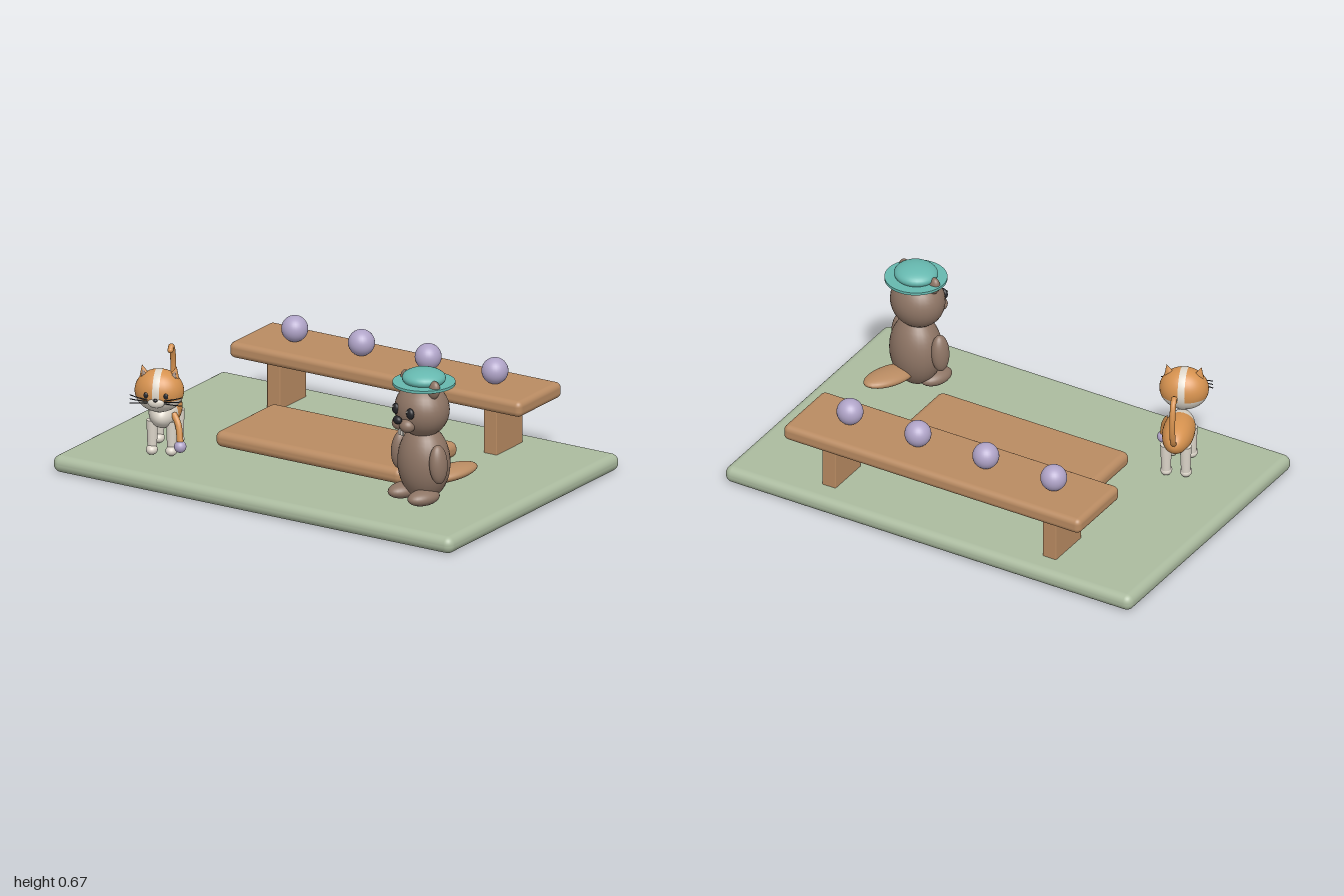
import * as THREE from 'three';
import { RoundedBoxGeometry } from 'three/addons/geometries/RoundedBoxGeometry.js';

const mat = (name, color) => Object.assign(new THREE.MeshStandardMaterial({ color }), { name });
const sage = mat('sage', 0xabbb9f);
const wood = mat('wood', 0xb98b62);
const lavender = mat('lavender', 0xb0a4c8);
const brown = mat('fur brown', 0x8e7565);
const teal = mat('teal', 0x66b8af);
const orange = mat('orange fur', 0xd6924f);
const cream = mat('cream', 0xddd6ca);
const black = mat('black', 0x26262a);
const white = mat('tooth white', 0xf2eee4);

function add(parent, name, geometry, material, pos = [0, 0, 0], rot = [0, 0, 0]) {
  const mesh = new THREE.Mesh(geometry, material);
  mesh.name = name;
  mesh.position.set(...pos);
  mesh.rotation.set(...rot);
  parent.add(mesh);
  return mesh;
}
const box = (parent, name, size, r, m, pos) =>
  add(parent, name, new RoundedBoxGeometry(...size, 4, r), m, pos);

const ball = (parent, name, r, m, pos, rot) =>
  add(parent, name, new THREE.SphereGeometry(1, 28, 20).scale(...r), m, pos, rot);

const tube = (parent, name, pts, r, m) =>
  add(parent, name, new THREE.TubeGeometry(
    new THREE.CatmullRomCurve3(pts.map(p => new THREE.Vector3(...p))), 28, r, 10), m);

// depth of an ellipsoid's front surface at an offset from its centre
const depth = ([rx, ry, rz], x, y) => rz * Math.sqrt(1 - (x / rx) ** 2 - (y / ry) ** 2);

function group(parent, name, pos, yaw) {
  const g = new THREE.Group();
  g.name = name;
  g.position.set(...pos);
  g.rotation.y = yaw;
  parent.add(g);
  return g;
}

function buildFurniture(root) {
  box(root, 'ground', [2, 0.075, 1.33], 0.035, sage, [0, 0.0375, 0]);
  box(root, 'lowPlatform', [0.935, 0.07, 0.455], 0.03, wood, [0, 0.12, -0.003]);
  box(root, 'benchTop', [1.46, 0.07, 0.335], 0.025, wood, [0, 0.317, -0.462]);
  for (const s of [-1, 1])
    box(root, 'benchLeg', [0.066, 0.23, 0.205], 0.004, wood, [s * 0.542, 0.185, -0.458]);
  for (let i = 0; i < 4; i++)
    ball(root, 'benchBall', [0.057, 0.057, 0.057], lavender, [-0.503 + i * 0.334, 0.407, -0.46]);
}

function buildCat(root) {
  const cat = group(root, 'cat', [-0.64, 0, 0.33], 0.38);

  // body: orange rear and cream chest share one ellipsoid, its axis along z
  const split = 1.22, bodyR = [0.068, 0.14, 0.07];
  const bodyPart = (start, len) =>
    new THREE.SphereGeometry(1, 28, 16, 0, Math.PI * 2, start, len).scale(...bodyR);
  add(cat, 'body', bodyPart(split, Math.PI - split), orange, [0, 0.252, 0], [Math.PI / 2, 0, 0]);
  add(cat, 'chest', bodyPart(0, split), cream, [0, 0.252, 0], [Math.PI / 2, 0, 0]);

  // legs and paws
  for (const s of [-1, 1]) for (const z of [-0.075, 0.08]) {
    add(cat, 'leg', new THREE.CylinderGeometry(0.025, 0.02, 0.13, 16), cream, [s * 0.042, 0.165, z]);
    ball(cat, 'paw', [0.025, 0.022, 0.03], cream, [s * 0.042, 0.1, z + 0.008]);
  }

  // head: orange above, cream below, cream blaze over the middle
  const R = [0.105, 0.093, 0.085];
  const head = group(cat, 'catHead', [0, 0.383, 0.138], 0);
  const cut = 1.86;
  add(head, 'headTop', new THREE.SphereGeometry(1, 32, 18, 0, Math.PI * 2, 0, cut).scale(...R), orange);
  add(head, 'jaw', new THREE.SphereGeometry(1, 32, 12, 0, Math.PI * 2, cut, Math.PI - cut).scale(...R), cream);
  const blaze = new THREE.SphereGeometry(1, 40, 4, 0, Math.PI * 2, Math.PI / 2 - 0.14, 0.28);
  add(head, 'blaze', blaze.rotateZ(Math.PI / 2).scale(R[0], R[1] * 1.015, R[2] * 1.015), cream);
  ball(head, 'muzzle', [0.036, 0.023, 0.018], cream, [0, -0.032, 0.074]);
  ball(head, 'nose', [0.009, 0.007, 0.007], black, [0, -0.017, 0.089]);
  for (const s of [-1, 1]) {
    ball(head, 'eye', [0.01, 0.013, 0.006], black, [s * 0.043, 0, depth(R, 0.043, 0)]);
    const ear = group(head, 'ear', [s * 0.066, 0.077, 0], 0);
    ear.rotation.z = -s * 0.25;
    add(ear, 'earShell', new THREE.ConeGeometry(0.032, 0.068, 20).scale(1, 1, 0.6), orange);
    add(ear, 'innerEar', new THREE.ConeGeometry(0.02, 0.045, 16).scale(1, 1, 0.3), brown, [0, -0.004, 0.0145], [-0.25, 0, 0]);
    for (const k of [-1, 0, 1])
      tube(head, 'whisker', [
        [s * 0.035, -0.026 + k * 0.006, 0.078],
        [s * 0.075, -0.022 + k * 0.012, 0.084],
        [s * 0.112, -0.02 + k * 0.018, 0.076]], 0.0022, black);
  }

  // upright curling tail
  tube(cat, 'tail', [[0, 0.26, -0.115], [0, 0.29, -0.15], [0, 0.35, -0.168], [0, 0.42, -0.165],
    [0, 0.475, -0.145], [0, 0.49, -0.12], [0, 0.478, -0.105]], 0.0125, orange);
  ball(cat, 'tailTip', [0.0125, 0.0125, 0.0125], orange, [0, 0.478, -0.105]);

  // raised foreleg with a little ball
  tube(cat, 'foreleg', [[0.05, 0.265, 0.085], [0.075, 0.225, 0.108], [0.088, 0.15, 0.13]], 0.014, orange);
  ball(cat, 'toyBall', [0.026, 0.026, 0.026], lavender, [0.088, 0.135, 0.132]);
}

function buildBeaver(root) {
  const beaver = group(root, 'beaver', [0.643, 0, 0.315], -0.32);
  ball(beaver, 'body', [0.122, 0.165, 0.106], brown, [0, 0.255, 0]);
  ball(beaver, 'tail', [0.066, 0.03, 0.135], wood, [0, 0.175, -0.145], [0.06, 0, 0]);

  // head, ears and face
  const R = [0.124, 0.118, 0.112];
  const head = group(beaver, 'beaverHead', [0, 0.492, 0.01], 0);
  ball(head, 'skull', R, brown);
  ball(head, 'nose', [0.023, 0.018, 0.016], black, [0, -0.022, 0.133]);
  for (const x of [-0.0085, 0.0085])
    box(head, 'tooth', [0.015, 0.03, 0.01], 0.003, white, [x, -0.079, 0.113]);
  for (const s of [-1, 1]) {
    ball(head, 'muzzleLobe', [0.036, 0.03, 0.033], brown, [s * 0.025, -0.048, 0.1]);
    ball(head, 'eye', [0.021, 0.024, 0.014], black, [s * 0.048, 0.01, depth(R, 0.048, 0.01)]);
    ball(head, 'eyeGlint', [0.005, 0.005, 0.004], white, [s * 0.048 - 0.006, 0.019, depth(R, 0.048, 0.01) + 0.012]);
    ball(head, 'ear', [0.03, 0.042, 0.022], brown, [s * 0.092, 0.108, 0.01], [0, 0, -s * 0.3]);
    ball(beaver, 'arm', [0.034, 0.085, 0.042], brown, [s * 0.128, 0.28, 0.025], [0, 0, s * 0.08]);
    ball(beaver, 'foot', [0.05, 0.034, 0.078], brown, [s * 0.066, 0.124, 0.055]);
  }

  // hat
  add(beaver, 'hatBrim', new THREE.CylinderGeometry(0.133, 0.133, 0.012, 40), teal, [0, 0.606, 0]);
  ball(beaver, 'hatCrown', [0.095, 0.04, 0.092], teal, [0, 0.628, 0]);
}

export function createModel() {
  const root = new THREE.Group();
  root.name = 'picnicScene';
  buildFurniture(root);
  buildCat(root);
  buildBeaver(root);
  return root;
}
